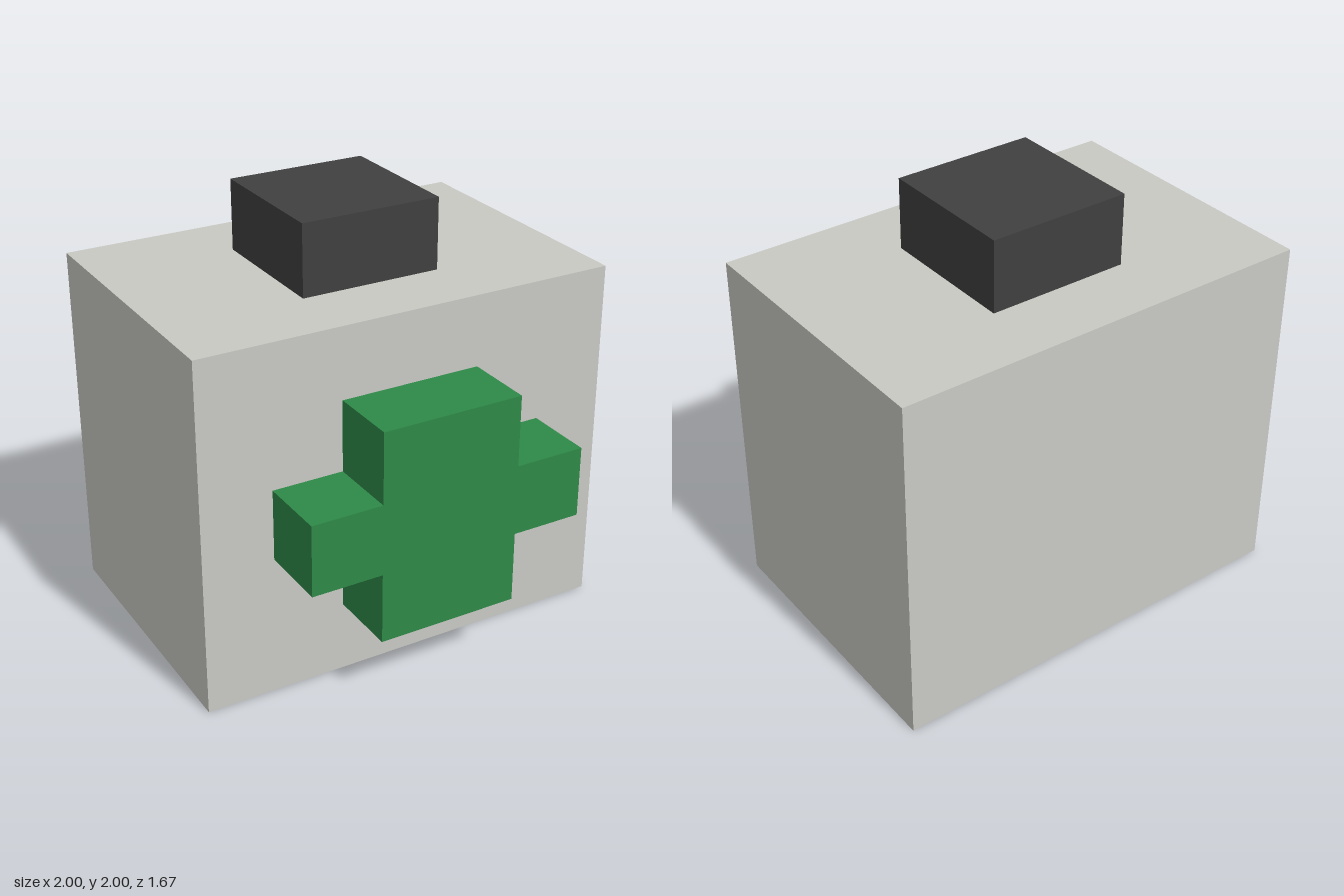
import * as THREE from 'three';

// Everything sits on a grid of sixths
const U = 1 / 6;

function material(name, color) {
  const m = new THREE.MeshStandardMaterial({ color });
  m.name = name;
  return m;
}

// Box given by its min and max corners in grid units
function box(name, [x0, y0, z0], [x1, y1, z1], mat) {
  const mesh = new THREE.Mesh(
    new THREE.BoxGeometry((x1 - x0) * U, (y1 - y0) * U, (z1 - z0) * U), mat);
  mesh.position.set((x0 + x1) / 2 * U, (y0 + y1) / 2 * U, (z0 + z1) / 2 * U);
  mesh.name = name;
  return mesh;
}

export function createModel() {
  const grey = material('light grey', 0xc9c9c4);
  const dark = material('charcoal', 0x404040);
  const green = material('green', 0x2e8947);

  const model = new THREE.Group();
  model.name = 'medicalCase';

  // Case and the block handle on top
  model.add(box('caseBody', [-6, 0, -5], [6, 10, 3], grey));
  model.add(box('handle', [-2, 10, -3], [2, 12, 1], dark));

  // Raised cross on the front, one extruded outline
  const outline = [
    [-2, -3], [2, -3], [2, -1], [4, -1], [4, 1], [2, 1],
    [2, 3], [-2, 3], [-2, 1], [-4, 1], [-4, -1], [-2, -1],
  ].map(([x, y]) => new THREE.Vector2(x * U, y * U));
  const cross = new THREE.Mesh(
    new THREE.ExtrudeGeometry(new THREE.Shape(outline), { depth: 2 * U, bevelEnabled: false }),
    green);
  cross.position.set(0, 5 * U, 3 * U);
  cross.name = 'frontCross';
  model.add(cross);

  return model;
}
